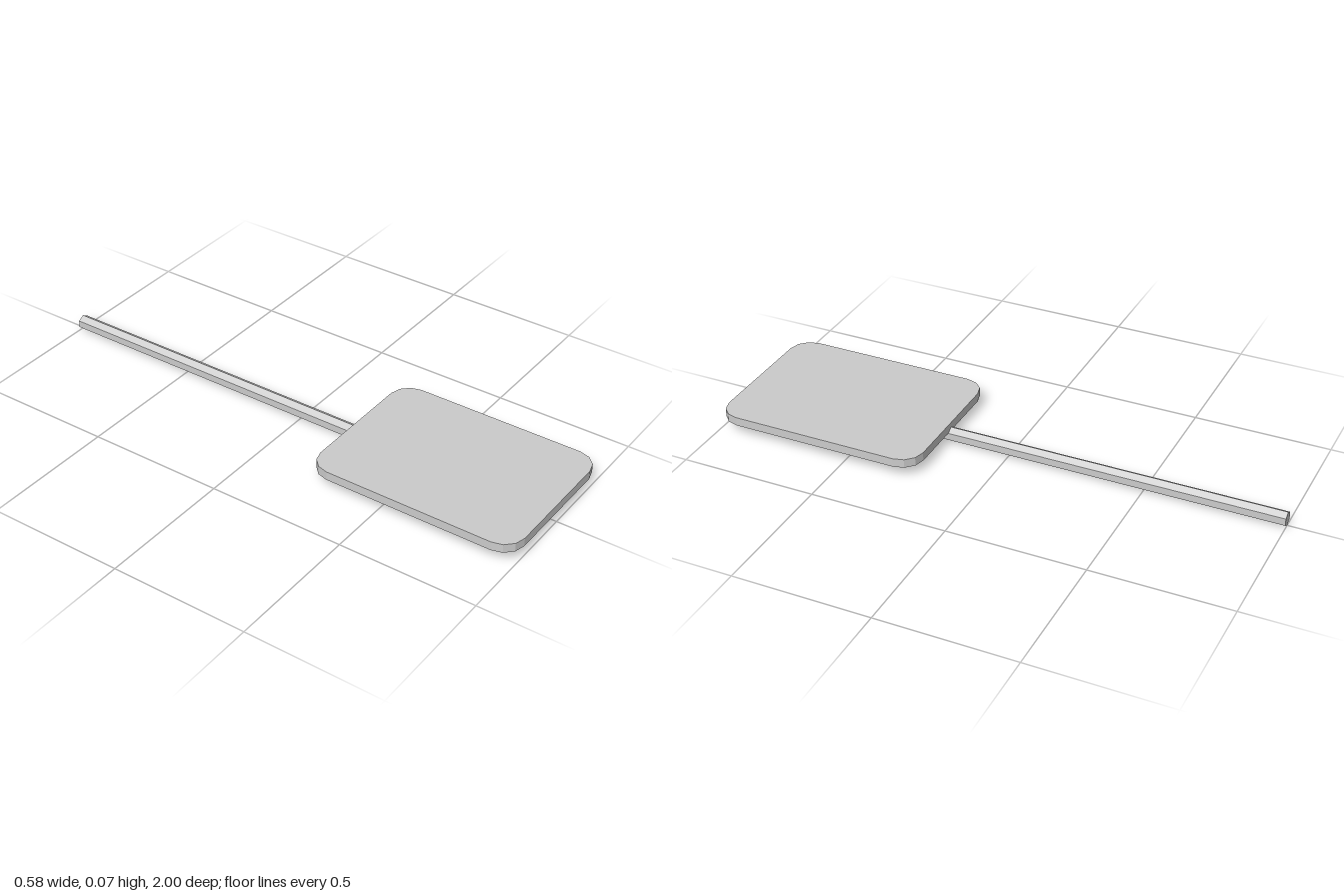
import * as THREE from 'three';

const material = new THREE.MeshStandardMaterial({ color: 0xcccccc, flatShading: true });

// Rounded rectangle outline with a few straight facets per corner
function roundedOutline(width, length, radius, facets) {
  const points = [];
  const corners = [[1, 1], [-1, 1], [-1, -1], [1, -1]];
  corners.forEach(([sx, sy], c) => {
    for (let i = 0; i <= facets; i++) {
      const a = (c + i / facets) * Math.PI / 2;
      points.push(new THREE.Vector2(
        sx * (width / 2 - radius) + radius * Math.cos(a),
        sy * (length / 2 - radius) + radius * Math.sin(a)));
    }
  });
  return new THREE.Shape(points);
}

export function createModel() {
  const group = new THREE.Group();
  group.name = 'paddleSign';

  // Flat panel, lying face up at the front
  const front = 1, back = 0.226, top = 0.072, thickness = 0.032;
  const panelGeometry = new THREE.ExtrudeGeometry(
    roundedOutline(0.58, front - back, 0.077, 3),
    { depth: thickness, bevelEnabled: false });
  panelGeometry.rotateX(Math.PI / 2);
  const panel = new THREE.Mesh(panelGeometry, material);
  panel.name = 'panel';
  panel.position.set(0, top, (front + back) / 2);
  group.add(panel);

  // Six-sided handle, an edge pointing down, running under the panel
  const radius = 0.0265, tip = 0.615, end = -1;
  const handleGeometry = new THREE.CylinderGeometry(radius, radius, tip - end, 6);
  handleGeometry.rotateX(Math.PI / 2);
  const handle = new THREE.Mesh(handleGeometry, material);
  handle.name = 'handle';
  handle.position.set(0, radius, (tip + end) / 2);
  group.add(handle);

  return group;
}
